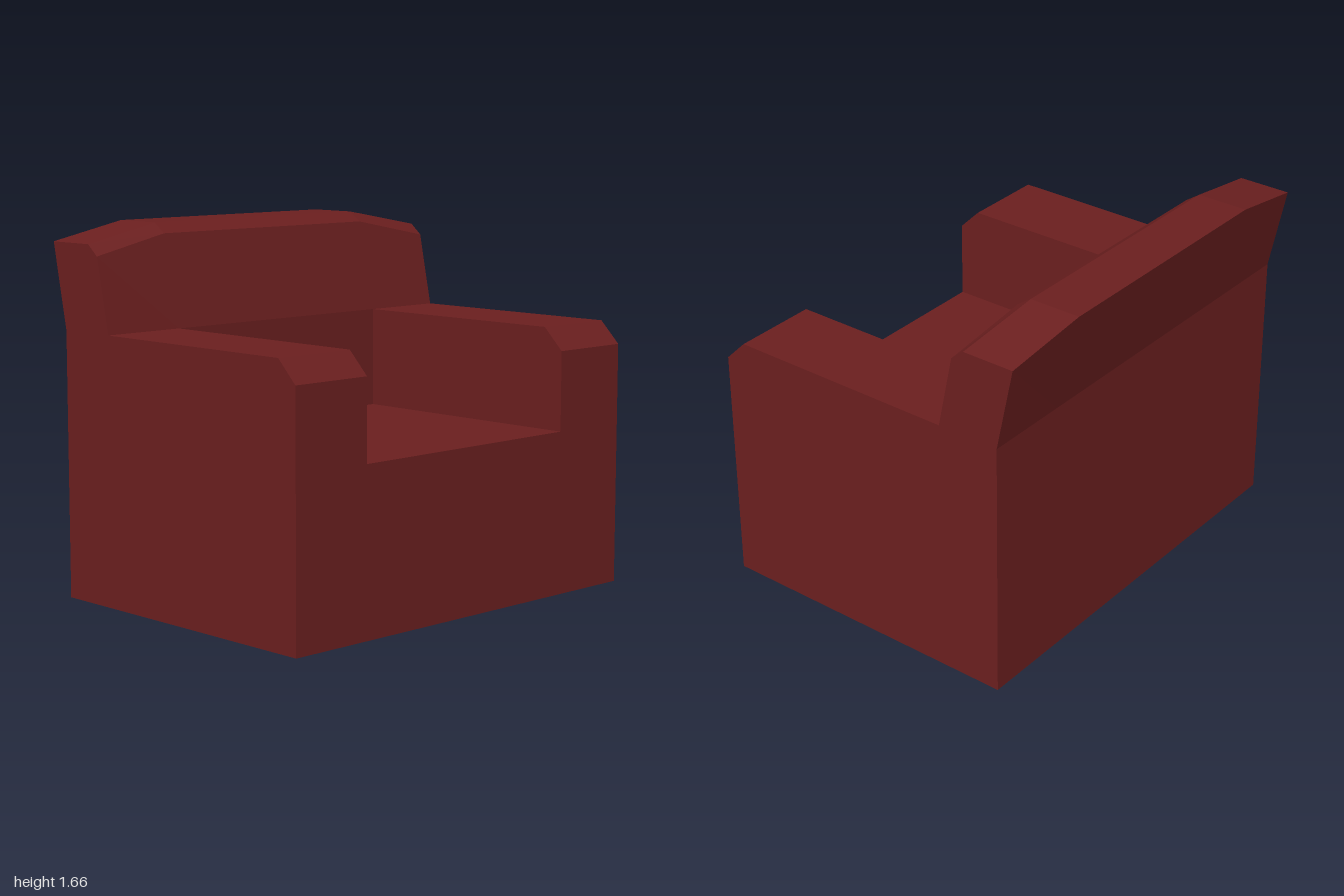
import * as THREE from 'three';

const material = new THREE.MeshStandardMaterial({ color: 0x6b1f1f, flatShading: true });

// Closed solid through matching counter-clockwise xy sections, in order of rising z
function loft(sections) {
  const pos = [];
  const n = sections[0].pts.length;
  const put = (s, j) => pos.push(s.pts[j % n][0], s.pts[j % n][1], s.z);
  for (let i = 0; i < sections.length - 1; i++) {
    const a = sections[i], b = sections[i + 1];
    for (let j = 0; j < n; j++) {
      put(a, j); put(a, j + 1); put(b, j + 1);
      put(a, j); put(b, j + 1); put(b, j);
    }
  }
  const first = sections[0], last = sections[sections.length - 1];
  const contour = first.pts.map(([x, y]) => new THREE.Vector2(x, y));
  for (const [a, b, c] of THREE.ShapeUtils.triangulateShape(contour, [])) {
    put(first, a); put(first, c); put(first, b);
    put(last, a); put(last, b); put(last, c);
  }
  const geo = new THREE.BufferGeometry();
  geo.setAttribute('position', new THREE.Float32BufferAttribute(pos, 3));
  geo.computeVertexNormals();
  return geo;
}

export function createModel() {
  const group = new THREE.Group();
  group.name = 'armchair';
  const add = (name, sections) => {
    const mesh = new THREE.Mesh(loft(sections), material);
    mesh.name = name;
    group.add(mesh);
  };
  const prism = (pts, z0, z1) => [{ z: z0, pts }, { z: z1, pts }];

  const back = -0.685, seatBack = -0.39, front = 0.79;
  const inner = 0.605, outer = 1, armTop = 1.2;

  // Backrest: leans back, bevelled at the front, lower towards both ends
  const lower = [[back, 0], [seatBack, 0], [seatBack, armTop]];
  const middle = [...lower, [-0.485, 1.615], [-0.55, 1.66], [-0.79, 1.66], [back, armTop]];
  const end = [...lower, [-0.46, 1.535], [-0.52, 1.585], [-0.765, 1.585], [back, armTop]];
  add('backrest', [
    { z: -outer, pts: end }, { z: -inner, pts: middle },
    { z: inner, pts: middle }, { z: outer, pts: end },
  ]);

  // Seat block
  add('seat', prism([[seatBack, 0], [front, 0], [front, 0.74], [seatBack, 0.74]], -inner, inner));

  // Armrests with a chamfered front edge
  const arm = [[seatBack, 0], [front, 0], [front, 1.1], [0.69, armTop], [seatBack, armTop]];
  add('rightArmrest', prism(arm, inner, outer));
  add('leftArmrest', prism(arm, -outer, -inner));

  return group;
}
